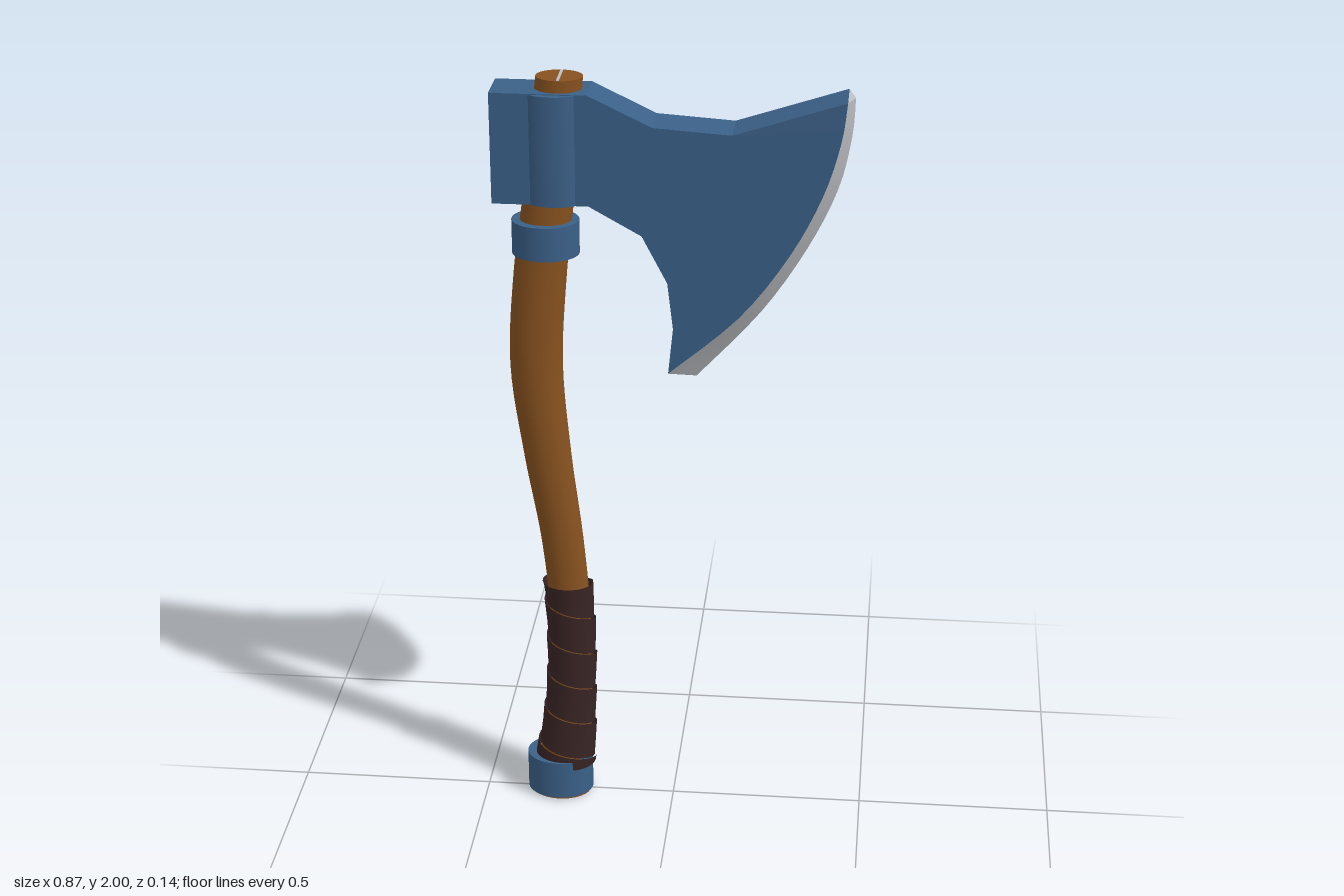
import * as THREE from 'three';

const mat = (name, color) => Object.assign(new THREE.MeshStandardMaterial({ color }), { name });

// Haft spine, evenly spaced in height: x = centre, y = height, z = half width
const HEIGHT = 2;
const spine = new THREE.CatmullRomCurve3([
  [-0.302, 0.08], [-0.275, 0.058], [-0.268, 0.053], [-0.286, 0.054], [-0.32, 0.06],
  [-0.343, 0.066], [-0.328, 0.066], [-0.297, 0.062], [-0.272, 0.057],
].map(([x, r], i) => new THREE.Vector3(x, i * 0.25, r)), false, 'catmullrom');
const FLAT = 0.8; // depth of the haft relative to its width

// Point on the haft's oval section, pushed outwards by grow
function haftPoint(y, angle, grow = 0) {
  const s = spine.getPoint(THREE.MathUtils.clamp(y / HEIGHT, 0, 1));
  return [s.x + (s.z + grow) * Math.cos(angle), y, (s.z * FLAT + grow) * Math.sin(angle)];
}

// Grid surface; pointAt(i, j) with i running round and j running up
function gridGeometry(cols, rows, pointAt) {
  const pos = [], idx = [];
  for (let j = 0; j <= rows; j++) {
    for (let i = 0; i <= cols; i++) pos.push(...pointAt(i, j));
  }
  for (let j = 0; j < rows; j++) {
    for (let i = 0; i < cols; i++) {
      const a = j * (cols + 1) + i, b = a + cols + 1;
      idx.push(a, b, a + 1, a + 1, b, b + 1);
    }
  }
  const g = new THREE.BufferGeometry();
  g.setAttribute('position', new THREE.Float32BufferAttribute(pos, 3));
  g.setIndex(idx);
  g.computeVertexNormals();
  return g;
}

export function createModel() {
  const group = new THREE.Group();
  const steel = mat('blueSteel', 0x3b6088);
  const wood = mat('wood', 0x88521f);
  const leather = mat('leather', 0x3a2525);
  leather.side = THREE.DoubleSide;
  const silver = mat('sharpenedSteel', 0xbcbec2);

  const add = (name, geometry, material) => {
    const mesh = new THREE.Mesh(geometry, material);
    mesh.name = name;
    group.add(mesh);
    return mesh;
  };

  // Curved wooden haft with end caps
  add('haft', gridGeometry(32, 48, (i, j) => haftPoint((j / 48) * HEIGHT, (i / 32) * Math.PI * 2)), wood);
  for (const [name, y, turn] of [['haftTop', HEIGHT, -1], ['haftBottom', 0, 1]]) {
    const s = spine.getPoint(y / HEIGHT);
    const cap = add(name, new THREE.CircleGeometry(1, 32), wood);
    cap.scale.set(s.z, s.z * FLAT, 1);
    cap.rotation.x = turn * Math.PI / 2;
    cap.position.set(s.x, y, 0);
  }

  // Wedge driven into the top of the haft
  const wedge = add('wedge', new THREE.BoxGeometry(0.007, 0.008, 0.084), silver);
  wedge.position.set(-0.271, HEIGHT - 0.003, 0);

  // Leather grip: a helical ribbon whose upper edge stands slightly proud
  const TURNS = 5.6, SEG = 32, PITCH = 0.106;
  add('gripWrap', gridGeometry(TURNS * SEG | 0, 2, (i, j) => {
    const turn = i / SEG, v = j / 2;
    const y = THREE.MathUtils.clamp(0.0 + (turn + v) * PITCH, 0.09, 0.635);
    return haftPoint(y, turn * Math.PI * 2, 0.008 + 0.005 * v);
  }), leather);

  // Oval steel fittings
  const oval = (name, x, y0, y1, rx, rz) => {
    const mesh = add(name, new THREE.CylinderGeometry(1, 1, y1 - y0, 40), steel);
    mesh.scale.set(rx, 1, rz);
    mesh.position.set(x, (y0 + y1) / 2, 0);
    return mesh;
  };
  oval('pommelRing', -0.304, 0.008, 0.115, 0.087, 0.072);
  oval('collar', -0.313, 1.55, 1.637, 0.083, 0.071);
  oval('eyeSocket', -0.286, 1.692, 1.968, 0.085, 0.072);

  // Cutting edge curves, from the toe at the top to the heel
  const arc = pts => new THREE.SplineCurve(pts.map(p => new THREE.Vector2(...p))).getPoints(20);
  const inner = arc([[0.415, 1.97], [0.402, 1.87], [0.362, 1.735], [0.285, 1.58], [0.165, 1.415], [-0.008, 1.26]]);
  const outer = arc([[0.432, 1.966], [0.426, 1.87], [0.396, 1.735], [0.325, 1.58], [0.215, 1.41], [0.058, 1.233]]);

  // Head: poll block and bearded blade in one plate
  const HALF = 0.055;
  const shape = new THREE.Shape([
    [-0.435, 1.692], [-0.435, 1.97], [-0.2, 1.97], [-0.045, 1.895], [0.145, 1.882],
  ].map(p => new THREE.Vector2(...p)).concat(inner, [
    [0.004, 1.38], [-0.01, 1.5], [-0.072, 1.62], [-0.2, 1.692],
  ].map(p => new THREE.Vector2(...p))));
  const head = new THREE.ExtrudeGeometry(shape, { depth: HALF * 2, bevelEnabled: false });
  head.translate(0, 0, -HALF);
  add('head', head, steel);

  // Sharpened bevels meeting in a ridge at z = 0
  const n = inner.length - 1;
  const rim = (i, z) => [inner[i].x, inner[i].y, z];
  const ridge = i => [outer[i].x, outer[i].y, 0];
  add('frontBevel', gridGeometry(n, 1, (i, j) => (j ? ridge(n - i) : rim(n - i, HALF)))
    , silver).geometry.index.array.reverse();
  add('backBevel', gridGeometry(n, 1, (i, j) => (j ? ridge(i) : rim(i, -HALF))), silver)
    .geometry.index.array.reverse();
  for (const side of ['frontBevel', 'backBevel']) {
    // Face each bevel outwards
    const g = group.getObjectByName(side).geometry;
    g.computeVertexNormals();
    const outward = side === 'frontBevel' ? 1 : -1;
    if (g.attributes.normal.getZ(n >> 1) * outward < 0) {
      g.index.array.reverse();
      g.computeVertexNormals();
    }
  }

  // Triangular ends of the bevels
  const ends = new THREE.BufferGeometry();
  ends.setAttribute('position', new THREE.Float32BufferAttribute([
    ...rim(0, HALF), ...ridge(0), ...rim(0, -HALF),
    ...rim(n, -HALF), ...ridge(n), ...rim(n, HALF),
  ], 3));
  ends.computeVertexNormals();
  add('bevelEnds', ends, silver);

  return group;
}
